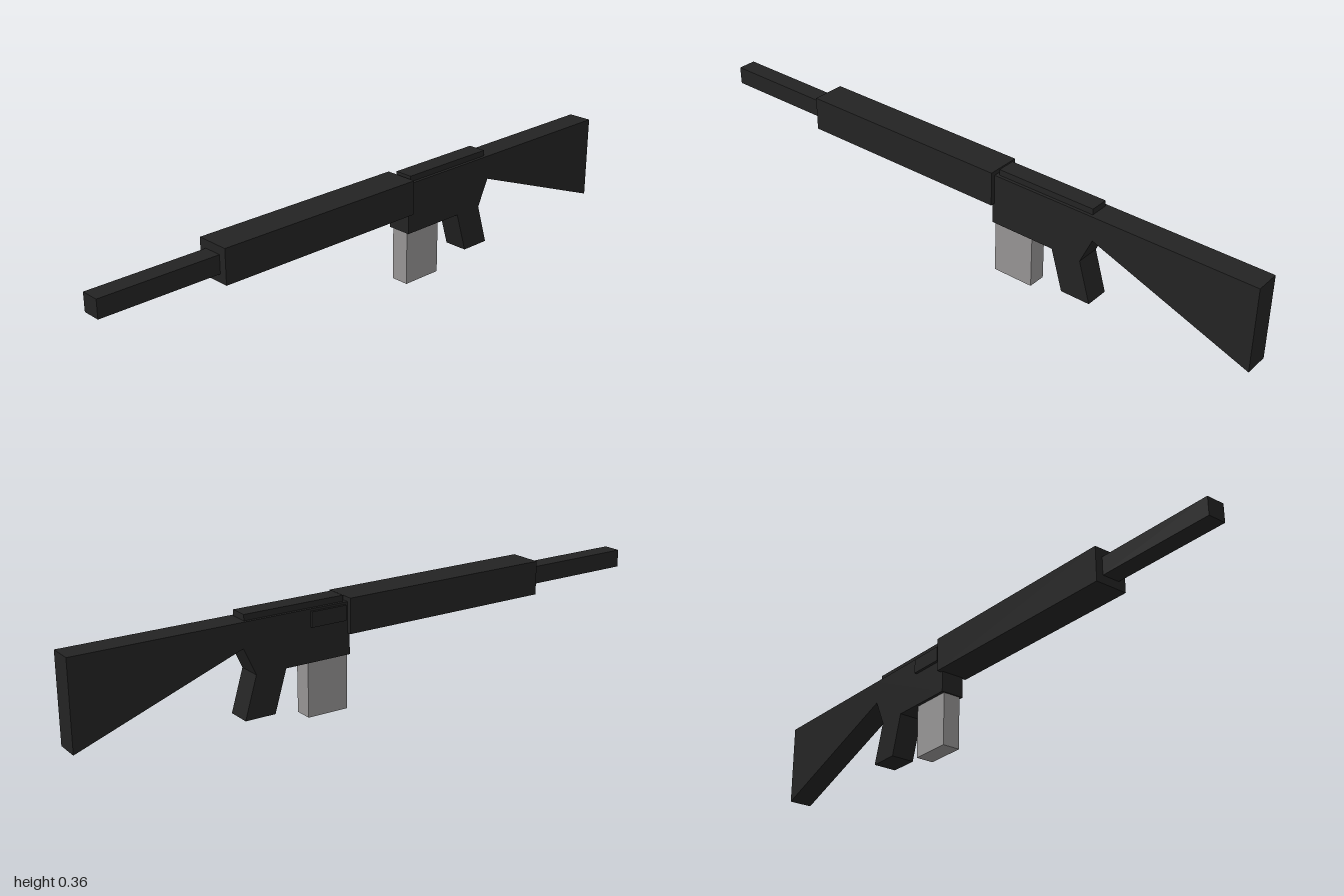
import * as THREE from 'three';

const black = new THREE.MeshStandardMaterial({ color: 0x232323 });
black.name = 'matte black';
const grey = new THREE.MeshStandardMaterial({ color: 0x969494 });
grey.name = 'magazine grey';

// Box given by its limits on each axis
function box(name, material, [x0, x1], [y0, y1], [z0, z1]) {
  const mesh = new THREE.Mesh(new THREE.BoxGeometry(x1 - x0, y1 - y0, z1 - z0), material);
  mesh.position.set((x0 + x1) / 2, (y0 + y1) / 2, (z0 + z1) / 2);
  mesh.name = name;
  return mesh;
}

// Side profile of [z, y] points, extruded evenly across x
function slab(name, material, width, points) {
  const shape = new THREE.Shape(points.map(([z, y]) => new THREE.Vector2(-z, y)));
  const geometry = new THREE.ExtrudeGeometry(shape, { depth: width, bevelEnabled: false });
  geometry.translate(0, 0, -width / 2);
  geometry.rotateY(Math.PI / 2);
  const mesh = new THREE.Mesh(geometry, material);
  mesh.name = name;
  return mesh;
}

export function createModel() {
  const model = new THREE.Group();
  model.name = 'rifle';

  model.add(
    // Front end
    box('barrel', black, [-0.03, 0.03], [0.27, 0.328], [0.6, 1]),
    box('handguard', black, [-0.055, 0.055], [0.243, 0.354], [-0.12, 0.607]),

    // Receiver body, with the raked grip below it
    slab('receiver', black, 0.08, [
      [-0.113, 0.175], [-0.335, 0.175], [-0.435, 0.175],
      [-0.475, 0.262], [-0.475, 0.34], [-0.113, 0.34],
    ]),
    slab('grip', black, 0.08, [
      [-0.335, 0.176], [-0.375, 0.042], [-0.475, 0.042], [-0.435, 0.176],
    ]),
    box('topRail', black, [-0.03, 0.03], [0.335, 0.359], [-0.465, -0.13]),
    box('ejectionPort', black, [-0.049, -0.039], [0.285, 0.333], [-0.25, -0.13]),

    // Tapered shoulder stock
    slab('stock', black, 0.08, [
      [-0.474, 0.262], [-1, 0.065], [-1, 0.34], [-0.474, 0.34],
    ]),

    box('magazine', grey, [-0.03, 0.03], [0, 0.175], [-0.255, -0.117]),
  );
  return model;
}
